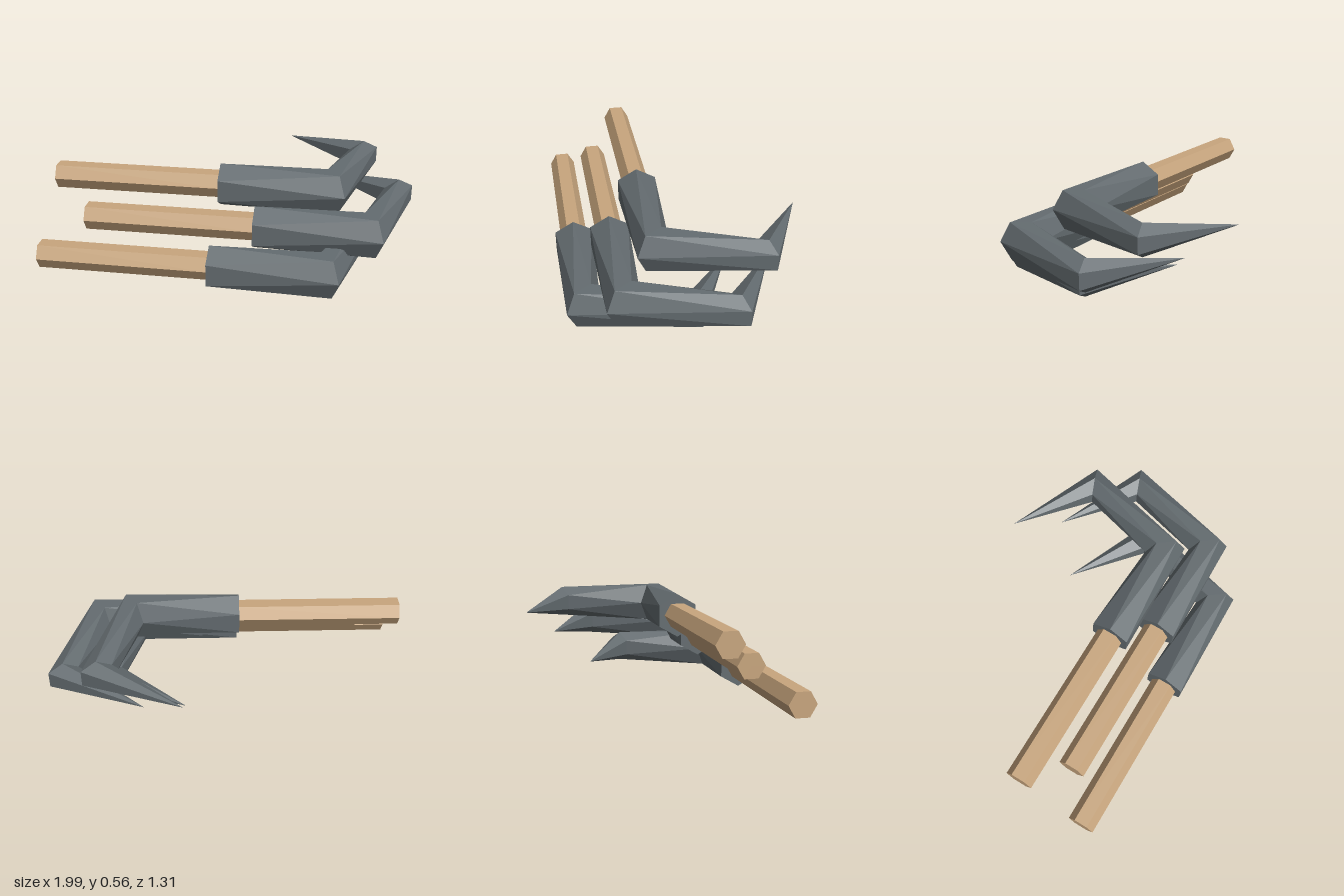
import * as THREE from 'three';

const SIDES = 6;

// Mitred hexagonal rings along the claw: centre (x, z), outward half-axis (x, z),
// vertical radius, and rotation in degrees. Heights are relative to the claw axis.
const RINGS = [
  { c: [-0.07, 0.178], u: [0, 0.1225], v: 0.1225, turn: -30 },    // socket
  { c: [0.548, 0.183], u: [0.0675, 0.0925], v: 0.126, turn: 0 },  // elbow
  { c: [0.70, -0.38], u: [0.092, -0.035], v: 0.09, turn: 30 },    // wrist
];
const TIP = [0.24, 0, -0.655];

function ringPoint({ c, u, v, turn }, j) {
  const a = THREE.MathUtils.degToRad(turn + (j * 360) / SIDES);
  const k = Math.cos(a);
  return [c[0] + u[0] * k, v * Math.sin(a), c[1] + u[1] * k];
}

function clawGeometry() {
  const pos = [];
  const tri = (...points) => points.forEach((p) => pos.push(...p));
  const [socket, , wrist] = RINGS;
  const socketCentre = [socket.c[0], 0, socket.c[1]];
  for (let j = 0; j < SIDES; j++) {
    // closed socket end
    tri(socketCentre, ringPoint(socket, j), ringPoint(socket, j + 1));
    // twisted sides
    for (let i = 0; i < RINGS.length - 1; i++) {
      const a = ringPoint(RINGS[i], j), c = ringPoint(RINGS[i], j + 1);
      const b = ringPoint(RINGS[i + 1], j), d = ringPoint(RINGS[i + 1], j + 1);
      tri(a, b, c);
      tri(b, d, c);
    }
    // sharp point
    tri(ringPoint(wrist, j), TIP, ringPoint(wrist, j + 1));
  }
  const g = new THREE.BufferGeometry();
  g.setAttribute('position', new THREE.Float32BufferAttribute(pos, 3));
  g.computeVertexNormals();
  return g;
}

export function createModel() {
  const metal = new THREE.MeshStandardMaterial({ color: 0x646c70, flatShading: true });
  metal.name = 'dark metal';
  const wood = new THREE.MeshStandardMaterial({ color: 0xc8a67e, flatShading: true });
  wood.name = 'light wood';

  const bladeGeo = clawGeometry();
  // hexagonal rod along x, ending inside the socket
  const handleGeo = new THREE.CylinderGeometry(0.076, 0.076, 0.94, SIDES);
  handleGeo.rotateZ(Math.PI / 2);
  handleGeo.translate(-0.53, 0.003, 0.177);

  const model = new THREE.Group();
  model.name = 'clawSet';
  // three identical claws, the middle one pushed forward
  const places = [
    ['upperClaw', 0, 0.435, 0],
    ['middleClaw', 0.215, 0.279, 0.1875],
    ['lowerClaw', 0, 0.1235, 0.375],
  ];
  for (const [name, x, y, z] of places) {
    const claw = new THREE.Group();
    claw.name = name;
    const blade = new THREE.Mesh(bladeGeo, metal);
    blade.name = 'blade';
    const handle = new THREE.Mesh(handleGeo, wood);
    handle.name = 'handle';
    claw.add(blade, handle);
    claw.position.set(x, y, z);
    model.add(claw);
  }
  return model;
}
